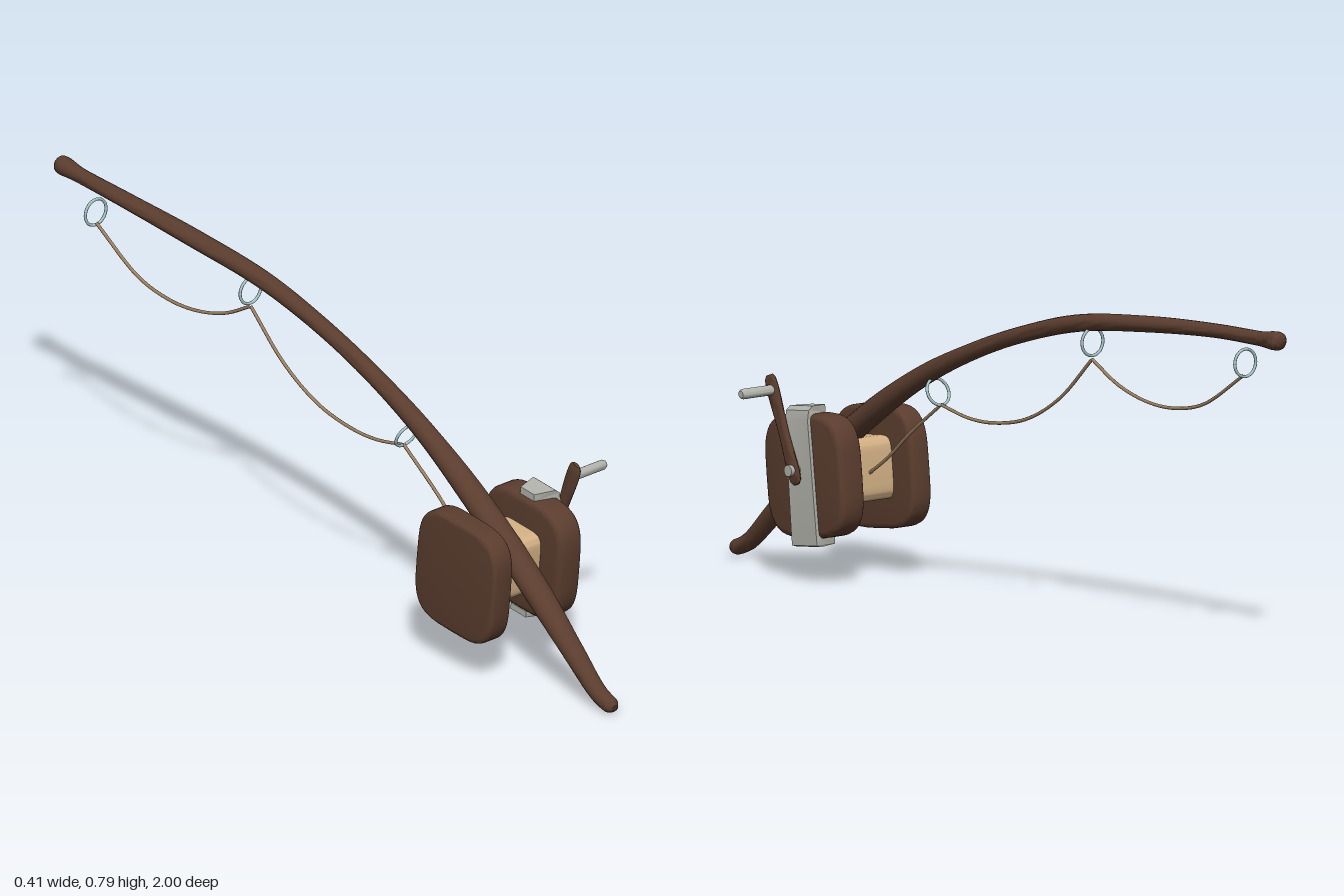
import * as THREE from 'three';
import { toCreasedNormals } from 'three/addons/utils/BufferGeometryUtils.js';

const mat = (color) => new THREE.MeshStandardMaterial({ color });
const V = (x, y, z) => new THREE.Vector3(x, y, z);

// Swept rod: rows of [x, y, z, radius across x, radius in the yz plane]
function sweep(rows, steps, sides) {
  const path = new THREE.CatmullRomCurve3(rows.map((r) => V(r[0], r[1], r[2])));
  const size = new THREE.CatmullRomCurve3(rows.map((r) => V(r[3], r[4], 0)), false, 'catmullrom', 0.4);
  const pos = [], index = [];
  const add = (p) => pos.push(p.x, p.y, p.z);
  for (let i = 0; i <= steps; i++) {
    const t = i / steps, c = path.getPoint(t), s = size.getPoint(t), d = path.getTangent(t);
    const up = d.clone().cross(V(1, 0, 0)).normalize();
    const across = up.clone().cross(d).normalize();
    for (let j = 0; j < sides; j++) {
      const a = (j / sides) * Math.PI * 2;
      add(c.clone().addScaledVector(across, Math.cos(a) * s.x).addScaledVector(up, Math.sin(a) * s.y));
      if (i < steps) {
        const k = (j + 1) % sides, p = i * sides + j, q = i * sides + k;
        index.push(p, q, p + sides, q, q + sides, p + sides);
      }
    }
  }
  // end caps
  for (const end of [0, 1]) {
    add(path.getPoint(end));
    const centre = pos.length / 3 - 1, base = end * steps * sides;
    for (let j = 0; j < sides; j++) {
      const p = base + j, q = base + ((j + 1) % sides);
      if (end) index.push(centre, p, q); else index.push(centre, q, p);
    }
  }
  const g = new THREE.BufferGeometry();
  g.setAttribute('position', new THREE.Float32BufferAttribute(pos, 3));
  g.setIndex(index);
  return toCreasedNormals(g, 0.9);
}

// Bulging square slab in the yz plane, running from x0 to x1
function slab(w, h, x0, x1, bevel, power) {
  const pts = [], f = (v) => Math.sign(v) * Math.abs(v) ** (2 / power);
  for (let i = 0; i < 48; i++) {
    const a = (i / 48) * Math.PI * 2;
    pts.push(new THREE.Vector2(f(Math.cos(a)) * (w / 2 - bevel), f(Math.sin(a)) * (h / 2 - bevel)));
  }
  const g = new THREE.ExtrudeGeometry(new THREE.Shape(pts), {
    depth: x1 - x0 - 2 * bevel, bevelEnabled: bevel > 0, bevelSize: bevel, bevelThickness: bevel, bevelSegments: 3,
  });
  g.rotateY(Math.PI / 2).translate(x0 + bevel, 0, 0);
  return toCreasedNormals(g, 0.6);
}

export function createModel() {
  const root = new THREE.Group();
  const wood = mat(0x5b3d2e), pale = mat(0xd2b084), steel = mat(0xb2b3ab);
  const ringMat = mat(0xa6c3c3), cord = mat(0x9c8060);
  const add = (name, geo, material, parent = root) => {
    const m = new THREE.Mesh(geo, material);
    m.name = name;
    parent.add(m);
    return m;
  };

  // Bent wooden pole, butt to tip
  add('pole', sweep([
    [-0.072, 0.022, 0.998, 0.012, 0.010],
    [-0.072, 0.026, 0.985, 0.021, 0.019],
    [-0.072, 0.045, 0.94, 0.023, 0.021],
    [-0.073, 0.125, 0.85, 0.029, 0.024],
    [-0.074, 0.25, 0.71, 0.036, 0.030],
    [-0.073, 0.40, 0.515, 0.034, 0.030],
    [-0.070, 0.525, 0.31, 0.025, 0.025],
    [-0.067, 0.61, 0.12, 0.022, 0.021],
    [-0.067, 0.67, -0.05, 0.022, 0.020],
    [-0.070, 0.722, -0.25, 0.024, 0.021],
    [-0.073, 0.750, -0.5, 0.027, 0.020],
    [-0.070, 0.765, -0.75, 0.024, 0.017],
    [-0.061, 0.768, -0.92, 0.020, 0.018],
    [-0.057, 0.770, -0.975, 0.024, 0.023],
    [-0.056, 0.771, -0.993, 0.023, 0.022],
    [-0.056, 0.771, -1.0, 0.017, 0.016],
  ], 90, 16), wood);

  // Reel: spool between two rounded cheeks, tilted forward
  const reel = new THREE.Group();
  reel.name = 'reel';
  reel.position.set(0, 0.264, 0.575);
  reel.rotation.x = 0.1;
  root.add(reel);
  add('leftCheek', slab(0.28, 0.3, 0.005, 0.08, 0.014, 4), wood, reel);
  add('rightCheek', slab(0.28, 0.3, -0.207, -0.145, 0.01, 4), wood, reel);
  add('spool', slab(0.142, 0.155, -0.16, 0.02, 0, 6), pale, reel);

  // Metal strap folded over the outer cheek, tabs narrowing inward
  const strap = new THREE.ExtrudeGeometry(new THREE.Shape([
    [0.015, 0.168], [0.07, 0.17], [0.083, 0.16], [0.089, 0.135], [0.089, -0.166], [0.075, -0.17],
    [0.015, -0.168], [0.015, -0.152], [0.07, -0.15], [0.077, -0.14], [0.077, 0.13], [0.068, 0.15], [0.015, 0.15],
  ].map((p) => new THREE.Vector2(...p))), { depth: 1, bevelEnabled: false });
  strap.translate(0, 0, -0.5);
  const sp = strap.attributes.position;
  for (let i = 0; i < sp.count; i++) {
    const inward = Math.max(0, (0.07 - sp.getX(i)) / 0.055);
    sp.setZ(i, sp.getZ(i) * (0.086 - 0.03 * sp.getY(i)) * (1 - 0.4 * inward));
  }
  add('strap', toCreasedNormals(strap, 0.5), steel, reel);

  // Crank: tapered arm, pivot bolt and grip
  const crank = new THREE.Group();
  crank.name = 'crank';
  crank.position.set(0.1, 0.28, 0.587);
  crank.rotation.x = 0.37;
  root.add(crank);
  add('crankArm', sweep([
    [0, -0.036, 0, 0.004, 0.010],
    [0, -0.026, 0, 0.007, 0.018],
    [0, 0.0, 0, 0.009, 0.021],
    [0, 0.09, 0, 0.011, 0.015],
    [0, 0.19, 0, 0.009, 0.021],
    [0, 0.226, 0, 0.008, 0.019],
    [0, 0.237, 0, 0.005, 0.012],
  ], 30, 12), wood, crank);
  const rod = (r, len) => new THREE.CylinderGeometry(r, r, len, 14).rotateZ(-Math.PI / 2);
  add('pivotBolt', rod(0.014, 0.037), steel, crank).position.x = -0.001;
  const gripProfile = [[0, 0], [0.0125, 0], [0.0125, 0.097], [0.009, 0.104], [0, 0.105]];
  const grip = new THREE.LatheGeometry(gripProfile.map((p) => new THREE.Vector2(...p)), 14);
  add('grip', toCreasedNormals(grip.rotateZ(-Math.PI / 2), 0.6), steel, crank).position.set(0, 0.2, 0);

  // Line guides: rings hanging beneath the pole [y, z, tilt]
  for (const [y, z, tilt] of [[0.492, 0.26, 0.4], [0.682, -0.298, 0], [0.699, -0.85, 0]]) {
    const ring = add('lineGuide', new THREE.TorusGeometry(0.0335, 0.0038, 8, 32), ringMat);
    ring.position.set(-0.074, y, z);
    ring.rotation.x = tilt;
  }

  // Slack line from the spool through the guides
  const spans = [
    [[0.262, 0.51], [0.31, 0.44], [0.375, 0.365], [0.462, 0.248]],
    [[0.462, 0.248], [0.442, 0.15], [0.441, 0.06], [0.465, -0.06], [0.53, -0.18], [0.64, -0.298]],
    [[0.64, -0.298], [0.59, -0.39], [0.562, -0.49], [0.557, -0.59], [0.58, -0.7], [0.67, -0.848]],
  ];
  for (const span of spans) {
    const curve = new THREE.CatmullRomCurve3(span.map(([y, z]) => V(-0.073, y, z)));
    add('line', new THREE.TubeGeometry(curve, 32, 0.0042, 8), cord);
  }
  return root;
}
